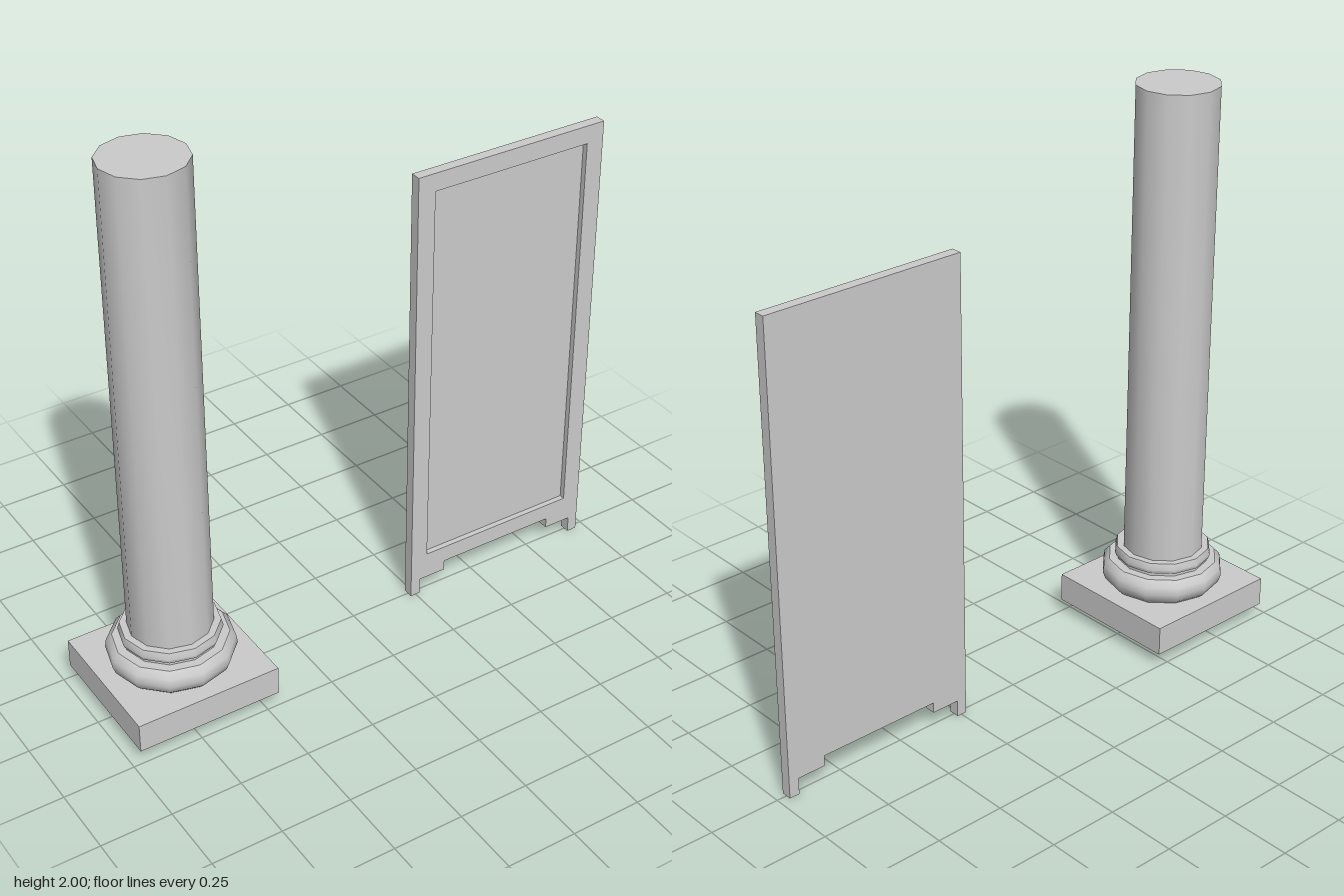
import * as THREE from 'three';
import { toCreasedNormals } from 'three/addons/utils/BufferGeometryUtils.js';

const material = new THREE.MeshStandardMaterial({ color: 0xcccccc });
const openMaterial = new THREE.MeshStandardMaterial({ color: 0xcccccc, side: THREE.DoubleSide });

function addMesh(parent, name, geometry, mat = material) {
  const mesh = new THREE.Mesh(geometry, mat);
  mesh.name = name;
  parent.add(mesh);
  return mesh;
}

// Twelve-sided turned part from [radius, height] pairs, listed bottom to top
function turned(profile) {
  const points = profile.map(([r, y]) => new THREE.Vector2(r, y));
  return toCreasedNormals(new THREE.LatheGeometry(points, 12), 0.75);
}

function createColumn() {
  const column = new THREE.Group();
  column.name = 'column';
  column.position.set(-0.713, 0, -0.003);

  // Square plinth, hollow underneath: the box's bottom face is left out
  const box = new THREE.BoxGeometry(0.516, 0.105, 0.5);
  const faces = Array.from(box.index.array);
  faces.splice(18, 6);
  box.setIndex(faces);
  box.clearGroups();
  addMesh(column, 'plinth', box, openMaterial).position.y = 0.1025;

  addMesh(column, 'lowerMoulding', turned([
    [0.19, 0.155], [0.208, 0.172], [0.218, 0.2], [0.214, 0.228], [0.194, 0.25], [0.16, 0.25],
  ]), openMaterial);
  addMesh(column, 'upperMoulding', turned([
    [0.163, 0.25], [0.163, 0.26], [0.169, 0.262], [0.174, 0.275], [0.167, 0.3], [0.14, 0.3],
  ]), openMaterial);
  addMesh(column, 'shaft', turned([[0.143, 0.3], [0.143, 2], [0, 2]]));
  return column;
}

function createPanel() {
  const panel = new THREE.Group();
  panel.name = 'panel';
  panel.position.x = 0.597;
  const depth = 0.038;

  // Frame outline with stepped feet, mirrored about its middle
  const half = [[0.226, 0.098], [0.226, 0.06], [0.33, 0.06], [0.33, 0], [0.367, 0], [0.367, 1.665]];
  const outline = [...half, ...half.map(([x, y]) => [-x, y]).reverse()];
  const shape = new THREE.Shape(outline.map(([x, y]) => new THREE.Vector2(x, y)));

  // Opening for the sunken field
  const [w, bottom, top] = [0.302, 0.16, 1.6];
  shape.holes.push(new THREE.Path([
    new THREE.Vector2(-w, bottom), new THREE.Vector2(-w, top),
    new THREE.Vector2(w, top), new THREE.Vector2(w, bottom),
  ]));
  const frame = new THREE.ExtrudeGeometry(shape, { depth, bevelEnabled: false });
  addMesh(panel, 'frame', frame).position.z = -depth / 2;

  // Sunken field, flush with the frame at the back
  const thickness = 0.018;
  const field = addMesh(panel, 'field', new THREE.BoxGeometry(2 * w, top - bottom, thickness));
  field.position.set(0, (top + bottom) / 2, (thickness - depth) / 2);
  return panel;
}

export function createModel() {
  const model = new THREE.Group();
  model.name = 'columnAndPanel';
  model.add(createColumn(), createPanel());
  return model;
}
